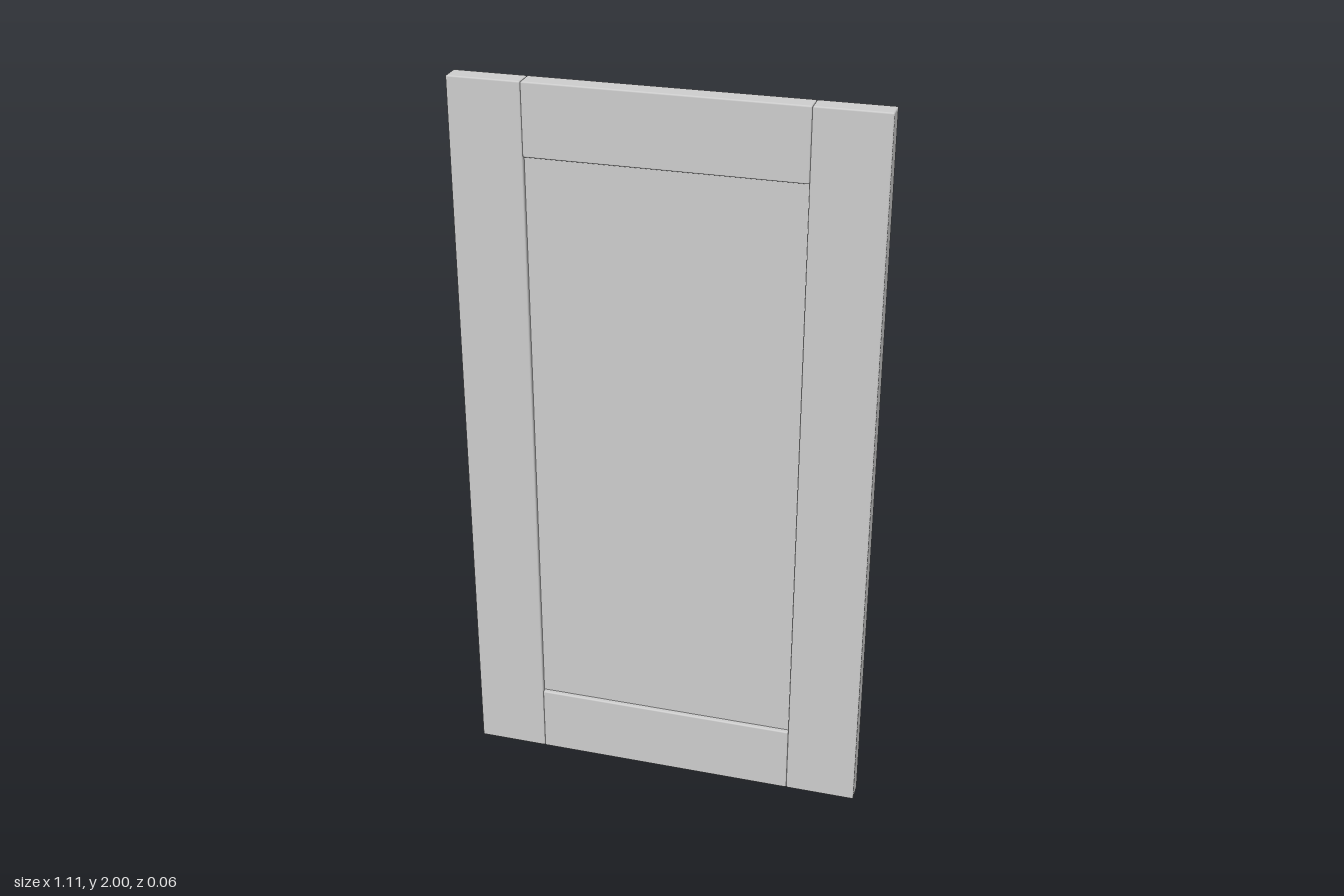
import * as THREE from 'three';
import { RoundedBoxGeometry } from 'three/addons/geometries/RoundedBoxGeometry.js';

const WIDTH = 1.114, HEIGHT = 2, THICK = 0.056;
const STILE = 0.194, RAIL = 0.193, PANEL_THICK = 0.03, TUCK = 0.012, EDGE = 0.004;

export function createModel() {
  const door = new THREE.Group();
  door.name = 'framedPanelDoor';
  const material = new THREE.MeshStandardMaterial({ color: 0xcccccc });

  const add = (name, geometry, x, y) => {
    const mesh = new THREE.Mesh(geometry, material);
    mesh.name = name;
    mesh.position.set(x, y, 0);
    door.add(mesh);
  };
  // Frame boards have slightly eased edges, leaving fine V joints where they meet
  const board = (w, h) => new RoundedBoxGeometry(w, h, THICK, 2, EDGE);

  const innerW = WIDTH - 2 * STILE;
  const innerH = HEIGHT - 2 * RAIL;

  // Full-height stiles on both sides
  for (const [name, side] of [['leftStile', 1], ['rightStile', -1]]) {
    add(name, board(STILE, HEIGHT), side * (WIDTH - STILE) / 2, HEIGHT / 2);
  }

  // Rails fitted between the stiles
  add('topRail', board(innerW, RAIL), 0, HEIGHT - RAIL / 2);
  add('bottomRail', board(innerW, RAIL), 0, RAIL / 2);

  // Recessed panel, tucked into the frame
  add('panel', new THREE.BoxGeometry(innerW + 2 * TUCK, innerH + 2 * TUCK, PANEL_THICK), 0, HEIGHT / 2);

  return door;
}
